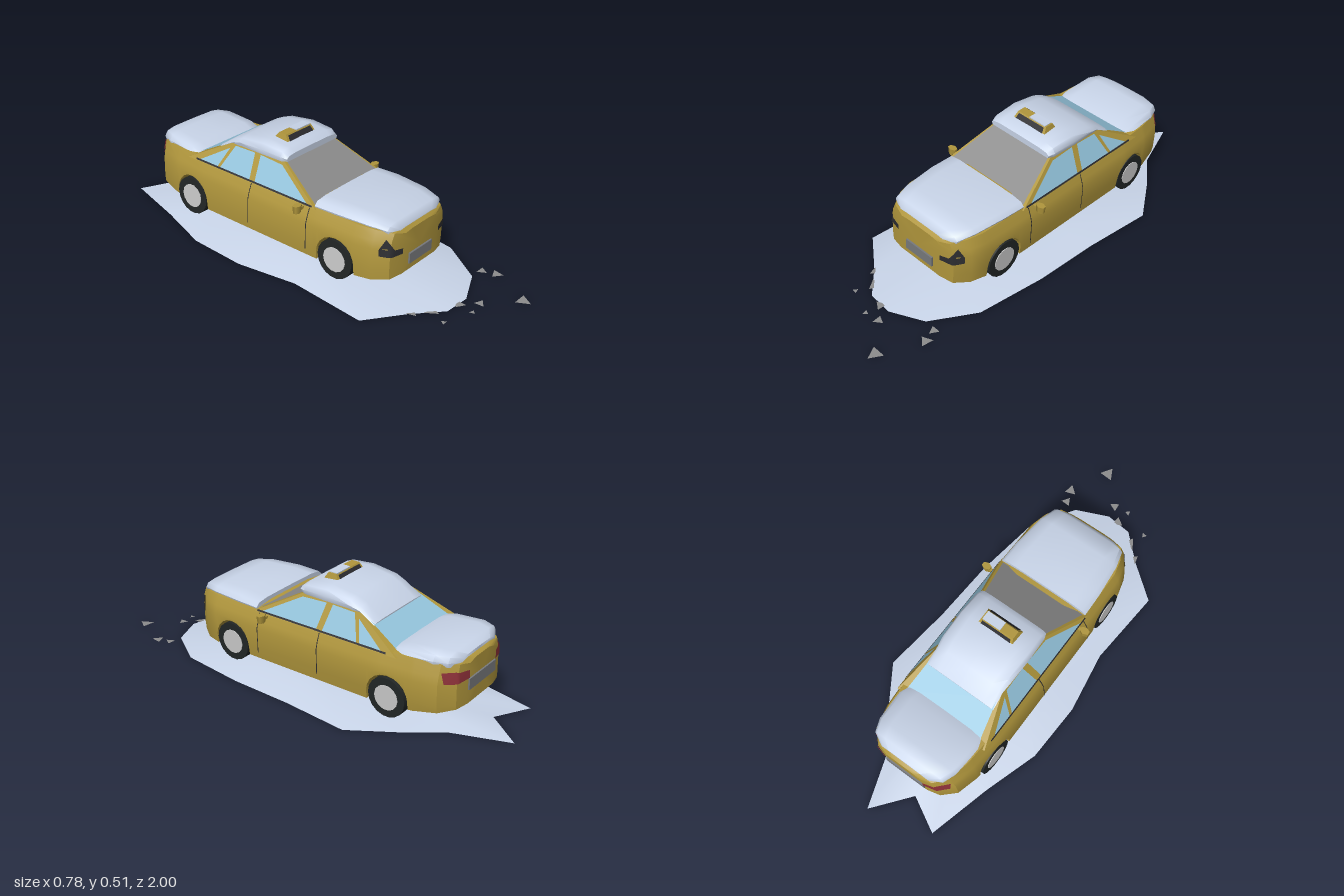
import * as THREE from 'three';
import { toCreasedNormals } from 'three/addons/utils/BufferGeometryUtils.js';
import { ConvexGeometry } from 'three/addons/geometries/ConvexGeometry.js';

const mat = (color, side = THREE.FrontSide) => new THREE.MeshStandardMaterial({ color, side });
const D = THREE.DoubleSide;
const paint = mat(0xb0963c), snow = mat(0xc8d4e8), ground = mat(0xc8d4e8, D), glass = mat(0x94c4dc, D),
  windshieldGlass = mat(0x8c8c8c, D), dark = mat(0x2c2c30, D), rubber = mat(0x222626),
  grey = mat(0xcccccc), plate = mat(0x77797c), red = mat(0x8c3038, D), stone = mat(0x8c8c8c, D);

function add(parent, name, geo, material, x = 0, y = 0, z = 0) {
  const m = new THREE.Mesh(geo, material);
  m.name = name;
  m.position.set(x, y, z);
  parent.add(m);
  return m;
}

function indexed(points, index) {
  const g = new THREE.BufferGeometry();
  g.setAttribute('position', new THREE.Float32BufferAttribute(points.flat(), 3));
  g.setIndex(index);
  return g;
}

// Closed loft: stations run front to rear, half rings run bottom centre to top centre
function loft(stations, crease = 0.6) {
  const pts = [], idx = [];
  const n = stations[0].half.length * 2 - 2;
  for (const { z, half } of stations) {
    half.forEach(([x, y]) => pts.push([x, y, z]));
    half.slice(1, -1).reverse().forEach(([x, y]) => pts.push([-x, y, z]));
  }
  const last = stations.length - 1;
  for (let s = 0; s < last; s++) for (let j = 0; j < n; j++) {
    const a = s * n + j, b = s * n + (j + 1) % n;
    idx.push(a, a + n, b, b, a + n, b + n);
  }
  for (const s of [0, last]) {
    const { z, half } = stations[s], c = pts.length;
    pts.push([0, (half[0][1] + half.at(-1)[1]) / 2, z]);
    for (let j = 0; j < n; j++) {
      const a = s * n + j, b = s * n + (j + 1) % n;
      idx.push(c, ...(s === 0 ? [a, b] : [b, a]));
    }
  }
  return toCreasedNormals(indexed(pts, idx), crease);
}

// Flat convex panel
function panel(parent, name, pts, material) {
  const idx = [];
  for (let i = 1; i < pts.length - 1; i++) idx.push(0, i, i + 1);
  const g = indexed(pts, idx);
  g.computeVertexNormals();
  return add(parent, name, g, material);
}

// Ribbon between pairs of points
function ribbon(parent, name, pairs, material) {
  const idx = [];
  for (let i = 0; i < pairs.length - 1; i++) idx.push(2 * i, 2 * i + 2, 2 * i + 1, 2 * i + 1, 2 * i + 2, 2 * i + 3);
  const g = indexed(pairs.flat(), idx);
  g.computeVertexNormals();
  return add(parent, name, g, material);
}

// Lower body: z, half width, floor, shoulder height, deck height
const BODY = [
  [0.565, 0.12, 0.1, 0.285, 0.29], [0.55, 0.185, 0.095, 0.3, 0.305], [0.49, 0.228, 0.09, 0.31, 0.32],
  [0.42, 0.247, 0.09, 0.312, 0.325], [0.2, 0.252, 0.09, 0.312, 0.325], [-0.45, 0.252, 0.09, 0.318, 0.325],
  [-0.62, 0.24, 0.1, 0.32, 0.33], [-0.72, 0.215, 0.112, 0.32, 0.33], [-0.775, 0.16, 0.122, 0.315, 0.325],
  [-0.79, 0.1, 0.127, 0.305, 0.315]];
const AXLES = [0.32, -0.505], AXLE_Y = 0.126, ARCH = 0.095;

function bodyAt(z) {
  const i = Math.max(1, BODY.findIndex(s => s[0] <= z));
  const a = BODY[i - 1], b = BODY[i], t = (a[0] - z) / (a[0] - b[0]);
  return a.map((v, k) => v + (b[k] - v) * t);
}

function bodyGeometry() {
  const zs = BODY.map(s => s[0]);
  for (const c of AXLES) {
    for (let i = 0; i <= 10; i++) zs.push(c + ARCH * Math.cos(i * Math.PI / 10));
    zs.push(c + ARCH + 0.001, c - ARCH - 0.001);
  }
  zs.sort((a, b) => b - a);
  return loft(zs.map(z => {
    const [, w, floor, ys, yt] = bodyAt(z);
    let arch = floor;
    for (const c of AXLES) {
      const d = Math.abs(z - c);
      if (d <= ARCH + 1e-6) arch = Math.max(floor, AXLE_Y + Math.sqrt(Math.max(0, ARCH * ARCH - d * d)));
    }
    return { z, half: [[0, floor], [w * 0.7, floor], [w * 0.7, arch], [w * 0.98, arch],
      [w, Math.max(arch + 0.005, 0.14)], [w, 0.235], [w * 0.96, 0.27], [w * 0.88, ys], [w * 0.5, yt], [0, yt]] };
  }), 0.5);
}

// Point on the nose (dir 1) or tail (dir -1) skin
function endPoint(x, y, dir) {
  const w = Math.abs(x) / (1 - Math.max(0, y - 0.235) * 1.2);
  const list = dir > 0 ? BODY.slice(0, 5) : BODY.slice(5).reverse();
  let z = list[0][0];
  for (let i = 1; i < list.length; i++) {
    const [a, b] = [list[i - 1], list[i]];
    if (w > a[1] && w <= b[1]) z = a[0] + (b[0] - a[0]) * (w - a[1]) / (b[1] - a[1]);
  }
  return [x, y, z + dir * 0.006];
}

// Snow slab: z, half width, base height, top height
const snowSlab = rows => loft(rows.map(([z, w, b, t]) => ({ z, half: [[0, b], [w, b],
  [w * 1.03, b + (t - b) * 0.4], [w * 0.95, b + (t - b) * 0.8], [w * 0.7, b + (t - b) * 0.97], [0, t]] })), 0.9);

function createCar() {
  const car = new THREE.Group();
  car.name = 'car';
  add(car, 'body', bodyGeometry(), paint);

  // Cabin with planar sides, front and rear
  const cabin = [];
  for (const s of [-1, 1]) for (const [x, y, z] of
    [[0.232, 0.305, 0.2], [0.165, 0.428, -0.03], [0.165, 0.428, -0.31], [0.232, 0.305, -0.54]])
    cabin.push(new THREE.Vector3(s * x, y, z));
  add(car, 'cabin', new ConvexGeometry(cabin), paint);
  const slope = y => (y - 0.305) / 0.123;
  const front = ([x, y]) => [x, y + 0.002, 0.203 - 0.23 * slope(y)];
  const rear = ([x, y]) => [x, y + 0.002, -0.543 + 0.23 * slope(y)];
  panel(car, 'windshield', [[-0.214, 0.315], [0.214, 0.315], [0.158, 0.425], [-0.158, 0.425]].map(front), windshieldGlass);
  panel(car, 'rearWindow', [[0.195, 0.312], [-0.195, 0.312], [-0.165, 0.41], [0.165, 0.41]].map(rear), glass);

  const sideWindows = {
    frontWindow: [[0.15, 0.316], [-0.03, 0.413], [-0.155, 0.418], [-0.14, 0.316]],
    backWindow: [[-0.17, 0.316], [-0.187, 0.418], [-0.3, 0.415], [-0.345, 0.316]],
    quarterWindow: [[-0.36, 0.316], [-0.325, 0.4], [-0.465, 0.316]] };
  for (const s of [-1, 1]) {
    const onSide = ([z, y]) => [s * (0.235 - 0.067 * slope(y)), y, z];
    for (const [name, pts] of Object.entries(sideWindows)) panel(car, name, pts.map(onSide), glass);
    panel(car, 'beltTrim', [[0.18, 0.309], [0.18, 0.316], [-0.49, 0.316], [-0.49, 0.309]].map(onSide), dark);
    for (const z of [0.17, -0.155])
      ribbon(car, 'doorSeam', [[0.254, 0.12], [0.254, 0.235], [0.244, 0.27], [0.228, 0.308]]
        .map(([x, y]) => [[s * x, y, z], [s * x, y, z - 0.004]]), dark);

    // Lights, given as columns of x, low y, high y
    const light = (name, cols, dir, m) => ribbon(car, name,
      cols.map(([x, a, b]) => [endPoint(s * x, a, dir), endPoint(s * x, b, dir)]), m);
    light('headlight', [[0.125, 0.2, 0.225], [0.168, 0.2, 0.23], [0.184, 0.2, 0.256], [0.192, 0.2, 0.278], [0.215, 0.205, 0.235]], 1, dark);
    light('tailLight', [[0.1, 0.245, 0.28], [0.15, 0.24, 0.285], [0.16, 0.238, 0.287], [0.2, 0.24, 0.287]], -1, red);

    const mirror = add(car, 'mirror', new THREE.CylinderGeometry(0.024, 0.02, 0.034, 6), paint, s * 0.264, 0.298, 0.13);
    mirror.scale.z = 0.7;
    add(car, 'mirrorArm', new THREE.BoxGeometry(0.03, 0.012, 0.015), paint, s * 0.238, 0.295, 0.13);

    for (const z of AXLES) {
      const wheel = new THREE.Group();
      wheel.name = 'wheel';
      wheel.position.set(s * 0.22, AXLE_Y, z);
      wheel.rotation.z = Math.PI / 2;
      add(wheel, 'tyre', new THREE.CylinderGeometry(0.088, 0.088, 0.058, 18), rubber);
      add(wheel, 'hub', new THREE.CylinderGeometry(0.056, 0.056, 0.064, 14), grey);
      car.add(wheel);
    }
  }
  add(car, 'frontPlate', new THREE.BoxGeometry(0.156, 0.048, 0.012), plate, 0.002, 0.155, 0.567);
  add(car, 'rearPlate', new THREE.BoxGeometry(0.2, 0.05, 0.012), plate, 0, 0.215, -0.791);

  // Snow on hood, roof and trunk
  add(car, 'hoodSnow', snowSlab([[0.552, 0.13, 0.285, 0.308], [0.53, 0.178, 0.295, 0.334], [0.45, 0.2, 0.3, 0.345],
    [0.3, 0.215, 0.3, 0.35], [0.19, 0.218, 0.3, 0.343]]), snow);
  add(car, 'roofSnow', snowSlab([[-0.012, 0.162, 0.428, 0.456], [-0.04, 0.172, 0.425, 0.475], [-0.15, 0.176, 0.425, 0.484],
    [-0.27, 0.172, 0.422, 0.466], [-0.32, 0.166, 0.41, 0.446], [-0.395, 0.17, 0.375, 0.392]]), snow);
  add(car, 'trunkSnow', snowSlab([[-0.5, 0.195, 0.3, 0.328], [-0.55, 0.204, 0.3, 0.345], [-0.69, 0.196, 0.305, 0.36],
    [-0.745, 0.175, 0.305, 0.357], [-0.775, 0.12, 0.302, 0.338]]), snow);

  // Roof sign: tapered box with a dark panel on each long face
  const signGeo = new THREE.BoxGeometry(0.19, 0.045, 0.1), p = signGeo.attributes.position;
  for (let i = 0; i < p.count; i++) if (p.getY(i) > 0) p.setXYZ(i, p.getX(i) * 0.85, p.getY(i), p.getZ(i) * 0.4);
  signGeo.computeVertexNormals();
  const sign = add(car, 'roofSign', signGeo, paint, -0.005, 0.48, -0.11);
  for (const s of [-1, 1])
    panel(sign, 'signPanel', [[-0.08, -0.016, 0.048], [0.08, -0.016, 0.048], [0.072, 0.018, 0.0255], [-0.072, 0.018, 0.0255]]
      .map(([x, y, z]) => [x, y, s * z]), dark);
  add(sign, 'signSnow', new THREE.BoxGeometry(0.09, 0.005, 0.042), snow, 0.03, 0.0235, 0);
  return car;
}

// Shallow mound with an irregular outline
function moundGeometry() {
  const outline = [[-0.24, -0.91], [-0.31, -0.62], [-0.385, -0.37], [-0.39, -0.1], [-0.34, 0.18], [-0.36, 0.54],
    [-0.2, 0.66], [-0.08, 0.77], [0.04, 0.78], [0.19, 0.71], [0.31, 0.52], [0.35, 0.2], [0.36, -0.1],
    [0.39, -0.42], [0.26, -0.61], [0.14, -0.76], [0.05, -1], [-0.08, -0.83]];
  const rings = [[1, 0], [0.65, 0.039], [0.34, 0.054]], n = outline.length, pts = [], idx = [];
  for (const [k, y] of rings) outline.forEach(([x, z]) => pts.push([x * k, y, z * k]));
  pts.push([0, 0.058, 0]);
  for (let r = 0; r < rings.length; r++) for (let i = 0; i < n; i++) {
    const a = r * n + i, b = r * n + (i + 1) % n;
    if (r === rings.length - 1) idx.push(a, b, n * rings.length);
    else idx.push(a, b, a + n, b, b + n, a + n);
  }
  return toCreasedNormals(indexed(pts, idx), 0.5);
}

export function createModel() {
  const model = new THREE.Group();
  model.name = 'snowyTaxi';
  const car = createCar();
  car.position.set(-0.02, 0, 0);
  car.rotation.set(-0.012, 0.018, -0.05);
  model.add(car);
  add(model, 'snowMound', moundGeometry(), ground);

  // Loose flat shards: x, z, size, turn
  for (const [x, z, r, a] of [[-0.18, 0.655, 0.04, 0.3], [-0.12, 0.72, 0.035, 0.6], [-0.15, 0.8, 0.014, 1.5], [-0.01, 0.78, 0.028, 1],
    [-0.02, 0.85, 0.014, 0.2], [0.05, 0.84, 0.025, 0.1], [0.25, 0.72, 0.025, 0.5], [0.27, 0.78, 0.03, 0.9], [0.18, 0.963, 0.037, 0.5]]) {
    const shard = add(model, 'shard', new THREE.CircleGeometry(r, 3), stone, x, 0.001, z);
    shard.rotation.set(-Math.PI / 2, 0, a);
  }
  return model;
}
